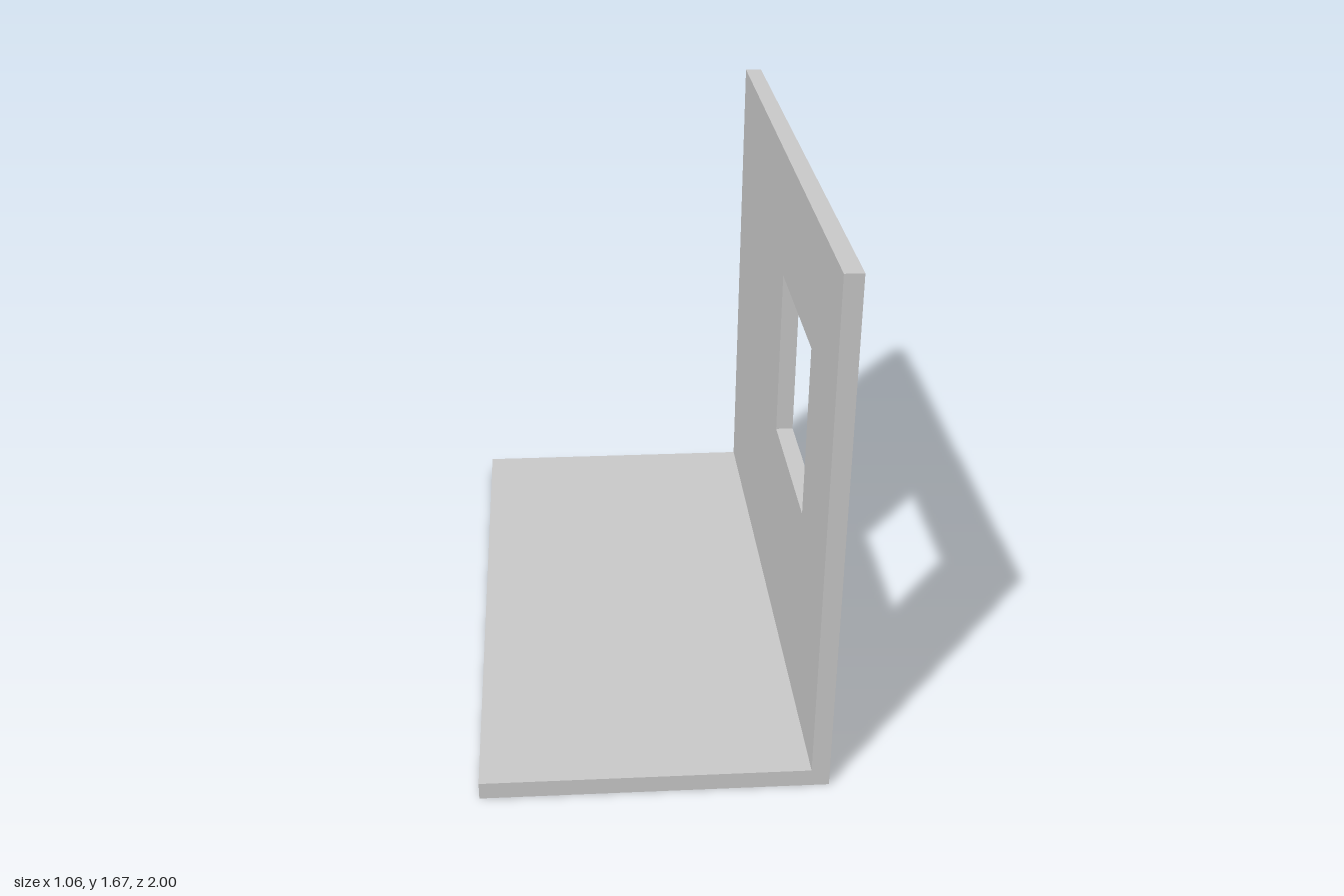
import * as THREE from 'three';

const T = 1 / 18; // slab thickness
const HALF_WIDTH = 0.528;
const HEIGHT = 1.667;
const LENGTH = 2;

// Rectangle outline from corner to corner
function rect(path, x0, y0, x1, y1) {
  path.moveTo(x0, y0);
  path.lineTo(x1, y0);
  path.lineTo(x1, y1);
  path.lineTo(x0, y1);
  path.closePath();
  return path;
}

export function createModel() {
  const group = new THREE.Group();
  group.name = 'wallAndFloor';
  const material = new THREE.MeshStandardMaterial({ color: 0xcccccc, flatShading: true });

  // Wall with a window opening; outline runs along -z, extruded along +x
  const outline = rect(new THREE.Shape(), -LENGTH / 2, 0, LENGTH / 2, HEIGHT);
  outline.holes.push(rect(new THREE.Path(), -0.611, 0.722, -0.056, 1.278));
  const wallGeometry = new THREE.ExtrudeGeometry(outline, { depth: T, bevelEnabled: false });
  wallGeometry.rotateY(Math.PI / 2);
  const wall = new THREE.Mesh(wallGeometry, material);
  wall.name = 'windowWall';
  wall.position.x = HALF_WIDTH - T;
  group.add(wall);

  // Floor slab butting against the wall
  const floorWidth = 2 * HALF_WIDTH - T;
  const floor = new THREE.Mesh(new THREE.BoxGeometry(floorWidth, T, LENGTH), material);
  floor.name = 'floor';
  floor.position.set(-T / 2, T / 2, 0);
  group.add(floor);

  return group;
}
